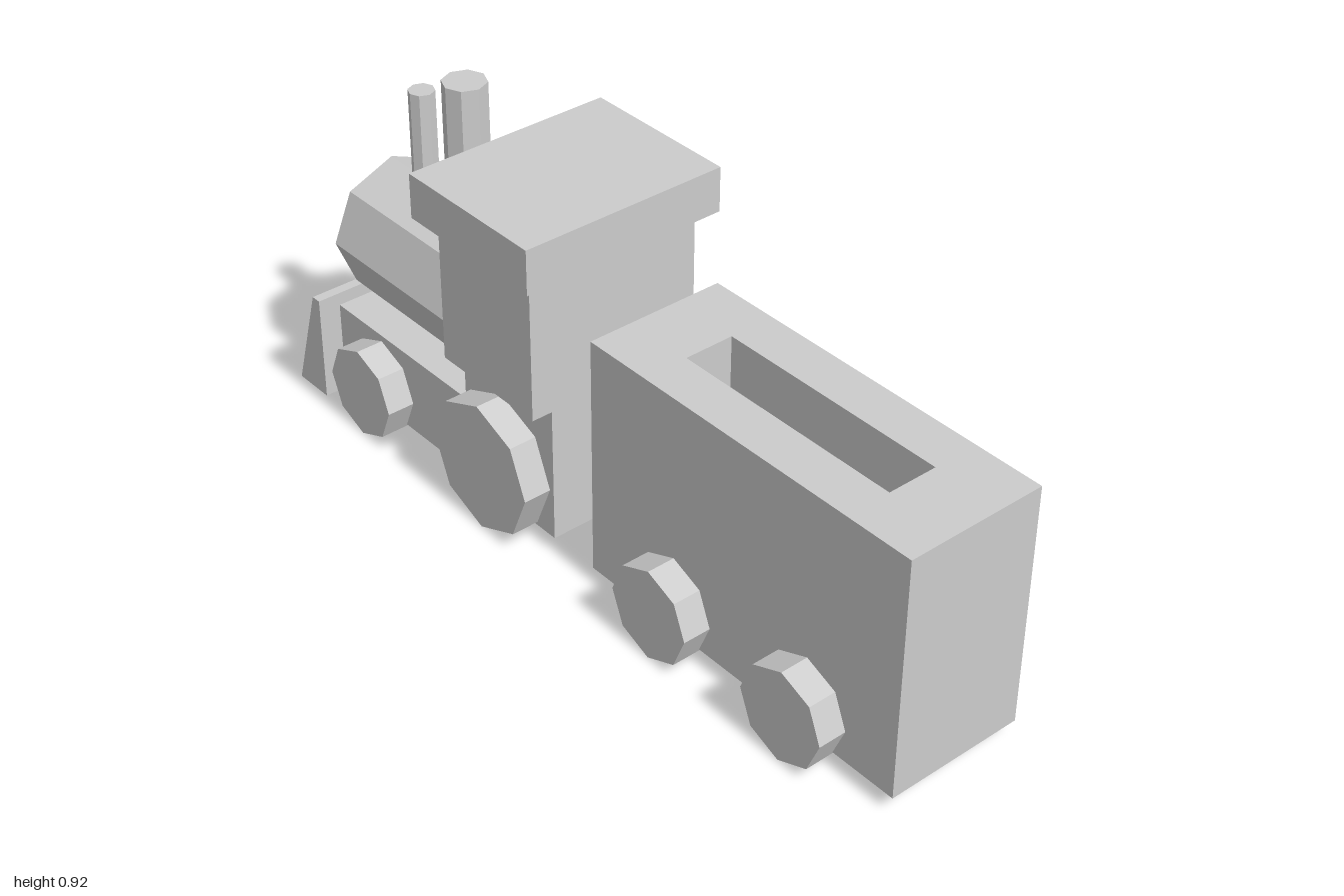
import * as THREE from 'three';

const material = new THREE.MeshStandardMaterial({ color: 0xcccccc, flatShading: true });

function addMesh(parent, name, geometry, x = 0, y = 0, z = 0) {
  const mesh = new THREE.Mesh(geometry, material);
  mesh.name = name;
  mesh.position.set(x, y, z);
  parent.add(mesh);
  return mesh;
}

// Box centred on x = 0, given its width and its y and z ranges
function block(parent, name, width, y0, y1, z0, z1) {
  return addMesh(parent, name, new THREE.BoxGeometry(width, y1 - y0, z1 - z0), 0, (y0 + y1) / 2, (z0 + z1) / 2);
}

// Eight-sided roller reaching across the body, standing on the ground
function wheelPair(parent, name, radius, z) {
  const geometry = new THREE.CylinderGeometry(radius, radius, 0.49, 8).rotateZ(Math.PI / 2);
  return addMesh(parent, name, geometry, 0, radius, z);
}

function chimney(parent, name, radius, top, z) {
  const bottom = 0.5;
  return addMesh(parent, name, new THREE.CylinderGeometry(radius, radius, top - bottom, 8), 0, (top + bottom) / 2, z);
}

function rectangle(PathType, x, y0, y1) {
  const path = new PathType();
  path.moveTo(-x, y0);
  path.lineTo(x, y0);
  path.lineTo(x, y1);
  path.lineTo(-x, y1);
  path.closePath();
  return path;
}

function createWagon() {
  const wagon = new THREE.Group();
  wagon.name = 'wagon';
  const floor = 0.17, top = 0.64;
  block(wagon, 'wagonFloor', 0.35, 0.04, floor, 0.068, 1);

  // Thick walls around the narrow load slot; shape y becomes -z
  const outline = rectangle(THREE.Shape, 0.175, -1, -0.068);
  outline.holes.push(rectangle(THREE.Path, 0.062, -0.828, -0.24));
  const walls = new THREE.ExtrudeGeometry(outline, { depth: top - floor, bevelEnabled: false });
  walls.rotateX(-Math.PI / 2);
  addMesh(wagon, 'wagonWalls', walls, 0, floor, 0);

  wheelPair(wagon, 'wagonFrontWheels', 0.117, 0.337);
  wheelPair(wagon, 'wagonRearWheels', 0.117, 0.744);
  return wagon;
}

function createEngine() {
  const engine = new THREE.Group();
  engine.name = 'engine';

  // Chassis, cab and roof
  block(engine, 'chassis', 0.35, 0.04, 0.25, -0.89, -0.385);
  block(engine, 'cabBase', 0.35, 0.04, 0.388, -0.385, -0.068);
  block(engine, 'cab', 0.455, 0.386, 0.74, -0.385, -0.068);
  block(engine, 'roof', 0.526, 0.74, 0.85, -0.432, -0.028);

  // Boiler and chimneys
  const boiler = new THREE.CylinderGeometry(0.173, 0.173, 0.505, 8).rotateX(Math.PI / 2);
  addMesh(engine, 'boiler', boiler, 0, 0.422, -0.6375);
  chimney(engine, 'tallChimney', 0.053, 0.92, -0.583);
  chimney(engine, 'shortChimney', 0.032, 0.828, -0.752);

  // Wedge plough: side profile swept across x
  const profile = new THREE.Shape([
    new THREE.Vector2(0.89, 0.01),
    new THREE.Vector2(1, 0.01),
    new THREE.Vector2(0.916, 0.283),
    new THREE.Vector2(0.89, 0.283),
  ]);
  const plough = new THREE.ExtrudeGeometry(profile, { depth: 0.464, bevelEnabled: false });
  plough.translate(0, 0, -0.232).rotateY(Math.PI / 2);
  addMesh(engine, 'plough', plough);

  wheelPair(engine, 'engineDrivingWheels', 0.167, -0.248);
  wheelPair(engine, 'engineLeadingWheels', 0.117, -0.718);
  return engine;
}

export function createModel() {
  const model = new THREE.Group();
  model.name = 'toyTrain';
  model.add(createWagon(), createEngine());
  return model;
}
